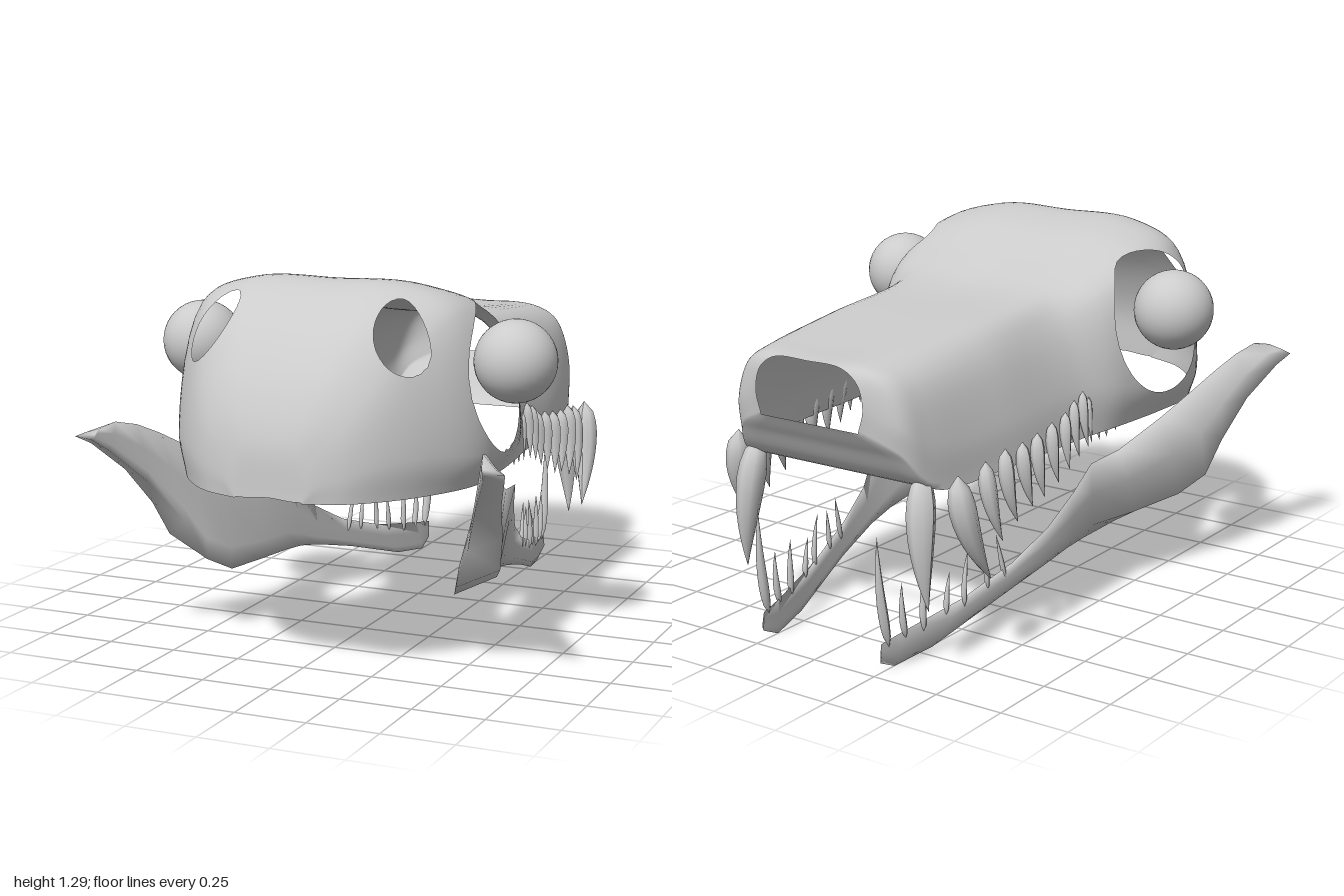
import * as THREE from 'three';
import { mergeVertices } from 'three/addons/utils/BufferGeometryUtils.js';

const V = (x, y, z) => new THREE.Vector3(x, y, z);
const material = new THREE.MeshStandardMaterial({ color: 0xcccccc, side: THREE.DoubleSide });

function mesh(name, geometry) {
  const m = new THREE.Mesh(geometry, material);
  m.name = name;
  return m;
}

// Triangles to a smooth, indexed geometry
function smooth(points) {
  const g = mergeVertices(new THREE.BufferGeometry().setFromPoints(points), 1e-4);
  g.computeVertexNormals();
  return g;
}

// Grid of points to triangles
function gridTriangles(rows) {
  const tris = [];
  for (let i = 0; i < rows.length - 1; i++) {
    for (let j = 0; j < rows[i].length - 1; j++) {
      const a = rows[i][j], b = rows[i][j + 1], c = rows[i + 1][j], d = rows[i + 1][j + 1];
      tris.push([a, b, c], [b, d, c]);
    }
  }
  return tris;
}

// Keep the part of each triangle where f > 0
function clip(tris, f) {
  const out = [];
  for (const tri of tris) {
    const poly = [];
    tri.forEach((p, k) => {
      const q = tri[(k + 1) % 3], fp = f(p), fq = f(q);
      if (fp > 0) poly.push(p);
      if (fp > 0 !== fq > 0) poly.push(p.clone().lerp(q, fp / (fp - fq)));
    });
    for (let k = 1; k < poly.length - 1; k++) out.push(poly[0], poly[k], poly[k + 1]);
  }
  return out;
}

// Half sections of the skull, snout to back:
// z, bottom width, bottom y, side width, side y, shoulder width, shoulder y, ridge width, top y
const SECTIONS = [
  [-1.0, 0.20, 0.82, 0.22, 0.90, 0.20, 0.98, 0.14, 1.03],
  [-0.95, 0.325, 0.75, 0.34, 0.84, 0.29, 0.98, 0.20, 1.035],
  [-0.85, 0.385, 0.63, 0.385, 0.78, 0.33, 0.97, 0.24, 1.04],
  [-0.5, 0.46, 0.63, 0.44, 0.78, 0.36, 0.99, 0.27, 1.07],
  [-0.1, 0.485, 0.63, 0.46, 0.80, 0.37, 1.02, 0.28, 1.105],
  [0.1, 0.51, 0.63, 0.53, 0.78, 0.455, 1.10, 0.29, 1.17],
  [0.35, 0.53, 0.63, 0.575, 0.74, 0.495, 1.18, 0.30, 1.265],
  [0.55, 0.525, 0.63, 0.56, 0.74, 0.47, 1.19, 0.28, 1.285],
  [0.75, 0.435, 0.63, 0.455, 0.76, 0.375, 1.07, 0.24, 1.18],
  [0.88, 0.335, 0.63, 0.35, 0.75, 0.30, 0.94, 0.19, 1.04],
  [0.95, 0.25, 0.63, 0.26, 0.72, 0.23, 0.84, 0.15, 0.92],
  [0.99, 0.15, 0.63, 0.16, 0.68, 0.14, 0.75, 0.1, 0.80],
  [1.0, 0.12, 0.63, 0.12, 0.632, 0.11, 0.634, 0.08, 0.64],
];

function buildSkull() {
  const rails = [0, 1, 2, 3, 4].map(k => new THREE.CatmullRomCurve3(SECTIONS.map(s => {
    if (k === 4) return V(0, s[8], s[0]);
    return V(s[1 + 2 * k], s[2 + 2 * k] - (k === 3 ? 0.006 : 0), s[0]);
  })));
  const sectionAt = t => {
    const half = rails.map(r => r.getPoint(t));
    const other = half.slice(0, 4).reverse().map(p => V(-p.x, p.y, p.z));
    return new THREE.CatmullRomCurve3([...half, ...other]);
  };
  const rows = [];
  for (let i = 0; i <= 96; i++) rows.push(sectionAt(i / 96).getPoints(56));

  // Eye sockets in the sides and slanted openings in the back
  const holes = p => {
    const eye = Math.abs(p.x) < 0.3 ? 1 : Math.hypot((p.z - 0.335) / 0.25, (p.y - 0.965) / 0.25) - 1;
    const dx = Math.abs(p.x) - 0.345, dy = p.y - 1.135;
    const rear = p.z < 0.5 ? 1 : Math.hypot((dy * 0.84 - dx * 0.54) / 0.13, (dx * 0.84 + dy * 0.54) / 0.065) - 1;
    return Math.min(eye, rear);
  };

  // Slanted lip below the open nostril
  const lip = rows.slice(0, 17).map(r =>
    [0, 0.1, 0.25, 0.5, 0.75, 0.9, 1].map(t => r[56].clone().lerp(r[0], t)));
  return mesh('skull', smooth(clip([...gridTriangles(rows), ...gridTriangles(lip)], holes)));
}

// Jaw stations: bottom z, y, x; top z, y, x; bulge to the outside
const JAW = [
  [-0.965, 0.035, 0.25, -0.96, 0.10, 0.25, 0.006],
  [-0.89, 0.0, 0.25, -0.86, 0.115, 0.265, 0.008],
  [-0.72, 0.02, 0.285, -0.6, 0.16, 0.32, 0.01],
  [-0.4, 0.115, 0.35, -0.37, 0.23, 0.37, 0.012],
  [-0.18, 0.17, 0.385, -0.2, 0.315, 0.405, 0.014],
  [-0.05, 0.195, 0.395, -0.09, 0.42, 0.44, 0.018],
  [0.05, 0.205, 0.40, -0.02, 0.515, 0.47, 0.03],
  [0.25, 0.215, 0.41, 0.13, 0.53, 0.49, 0.08],
  [0.45, 0.225, 0.425, 0.35, 0.61, 0.54, 0.125],
  [0.55, 0.28, 0.47, 0.5, 0.67, 0.57, 0.135],
  [0.60, 0.42, 0.53, 0.62, 0.735, 0.61, 0.11],
  [0.72, 0.58, 0.60, 0.72, 0.78, 0.64, 0.085],
  [0.85, 0.71, 0.675, 0.82, 0.805, 0.665, 0.075],
  [0.91, 0.755, 0.705, 0.89, 0.79, 0.69, 0.07],
];

function buildJaw() {
  const profile = [[0, 0], [0.19, 1], [0.6, 0.6], [1, 0], [0.6, -0.08], [0.19, -0.08], [0, 0]];
  const rows = JAW.map(([zb, yb, xb, zt, yt, xt, bulge]) => profile.map(([t, o]) =>
    V(xb, yb, zb).lerp(V(xt, yt, zt), t).add(V(o * bulge, 0, 0))));
  const cap = row => {
    const c = row[0].clone().lerp(row[3], 0.5);
    return row.map(() => c);
  };
  rows.unshift(cap(rows[0]));
  rows.push(cap(rows[rows.length - 1]));
  return mesh('jaw', smooth(gridTriangles(rows).flat()));
}

// Curved tooth: a tube that swells below the root and ends in a point
function buildTooth(name, root, tip, radius, bend) {
  const mid = root.clone().lerp(tip, 0.5).add(V(0, 0, bend));
  const curve = new THREE.QuadraticBezierCurve3(root, mid, tip);
  const steps = 10, sides = 8;
  const g = new THREE.TubeGeometry(curve, steps, radius, sides);
  const pos = g.attributes.position, p = V(0, 0, 0);
  for (let i = 0; i < pos.count; i++) {
    const t = Math.floor(i / (sides + 1)) / steps;
    const c = curve.getPointAt(t);
    const s = t < 0.3 ? Math.sqrt(1 - ((0.3 - t) / 0.3) ** 2) : 1 - ((t - 0.3) / 0.7) ** 1.6;
    p.fromBufferAttribute(pos, i).sub(c).multiplyScalar(Math.max(s, 0.02)).add(c);
    pos.setXYZ(i, p.x, p.y, p.z);
  }
  g.computeVertexNormals();
  return mesh(name, g);
}

// Root x, y, z; tip x, y, z; radius; bend
const UPPER_TEETH = [
  [0.345, 0.68, -0.85, 0.385, 0.22, -0.88, 0.05, -0.05],
  [0.46, 0.68, -0.82, 0.50, 0.30, -0.69, 0.046, -0.07],
  [0.465, 0.69, -0.67, 0.50, 0.41, -0.62, 0.03, -0.04],
  [0.475, 0.71, -0.57, 0.50, 0.45, -0.53, 0.028, -0.04],
  [0.48, 0.71, -0.475, 0.50, 0.48, -0.44, 0.026, -0.03],
  [0.48, 0.72, -0.385, 0.50, 0.49, -0.365, 0.025, -0.03],
  [0.48, 0.735, -0.295, 0.50, 0.52, -0.28, 0.023, -0.025],
  [0.48, 0.75, -0.21, 0.50, 0.55, -0.21, 0.021, -0.02],
  [0.48, 0.78, -0.155, 0.50, 0.58, -0.15, 0.019, -0.02],
  [0.48, 0.80, -0.10, 0.50, 0.60, -0.09, 0.018, -0.02],
  [0.48, 0.77, -0.06, 0.49, 0.60, -0.05, 0.012, -0.01],
  [0.48, 0.70, -0.01, 0.49, 0.60, 0.0, 0.01, 0],
  [0.48, 0.68, 0.04, 0.49, 0.60, 0.05, 0.01, 0],
  [0.48, 0.67, 0.1, 0.49, 0.61, 0.11, 0.008, 0],
];
const LOWER_TEETH = [
  [0.257, 0.08, -0.925, 0.25, 0.475, -0.975, 0.017, -0.03],
  [0.27, 0.09, -0.85, 0.27, 0.29, -0.87, 0.012, -0.02],
  [0.285, 0.09, -0.77, 0.285, 0.30, -0.77, 0.012, -0.01],
  [0.305, 0.12, -0.67, 0.305, 0.27, -0.65, 0.01, -0.01],
  [0.325, 0.13, -0.59, 0.325, 0.33, -0.57, 0.01, -0.02],
  [0.345, 0.16, -0.48, 0.34, 0.32, -0.50, 0.009, 0],
  [0.36, 0.17, -0.395, 0.35, 0.35, -0.44, 0.009, 0],
];

function buildSide(name) {
  const side = new THREE.Group();
  side.name = name;
  const eye = mesh('eye', new THREE.SphereGeometry(0.142, 32, 20));
  eye.position.set(0.592, 1.02, 0.325);
  side.add(eye, buildJaw());
  const addTeeth = (toothName, list) => list.forEach(([x, y, z, tx, ty, tz, r, bend]) =>
    side.add(buildTooth(toothName, V(x, y, z), V(tx, ty, tz), r, bend)));
  addTeeth('upperTooth', UPPER_TEETH);
  addTeeth('lowerTooth', LOWER_TEETH);
  return side;
}

export function createModel() {
  const model = new THREE.Group();
  model.name = 'reptileSkull';
  const left = buildSide('leftSide'), right = buildSide('rightSide');
  right.scale.x = -1;
  model.add(buildSkull(), left, right);
  return model;
}
